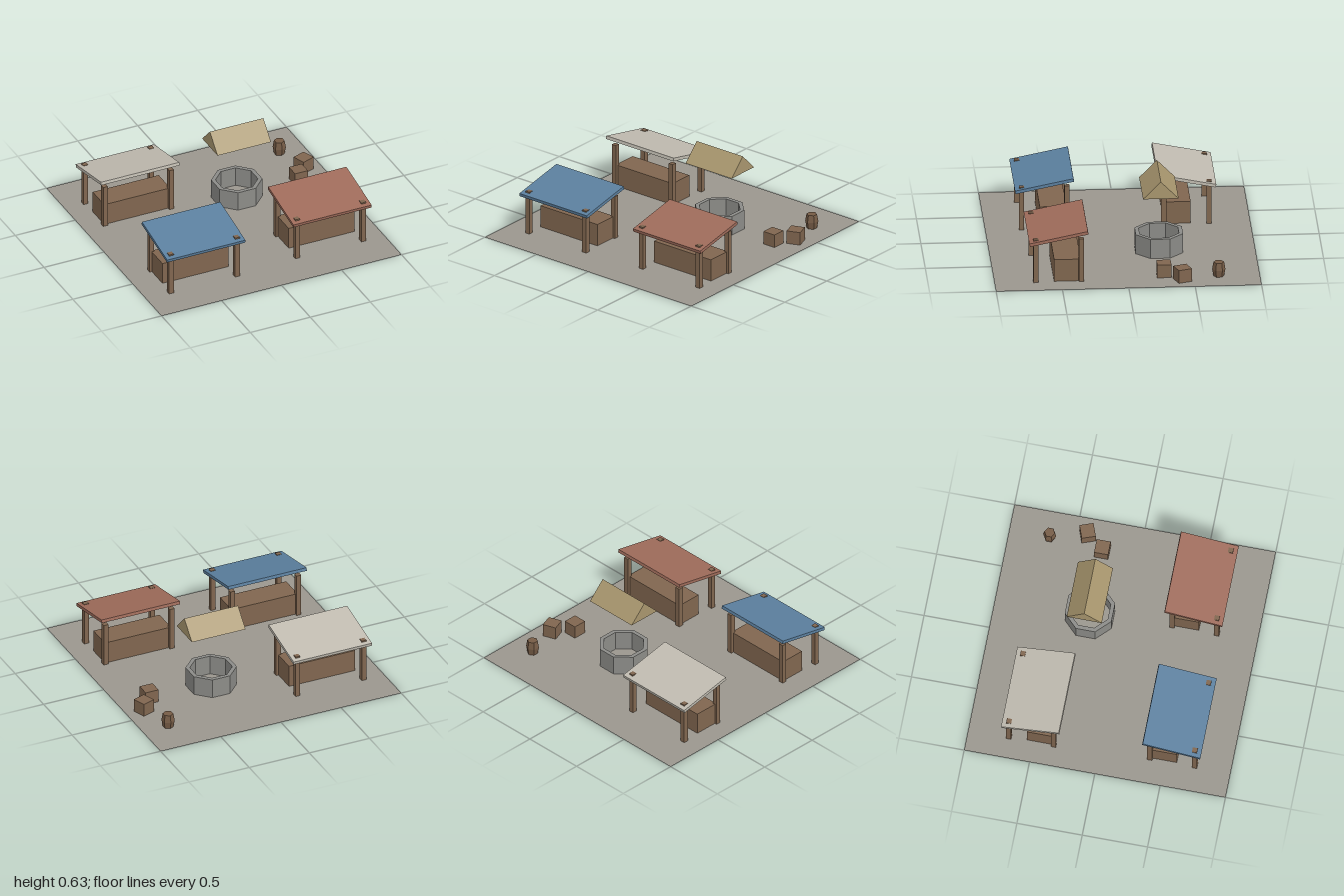
import * as THREE from 'three';

const mat = (color, side = THREE.FrontSide) =>
  new THREE.MeshStandardMaterial({ color, side, flatShading: true });

export function createModel() {
  const model = new THREE.Group();
  model.name = 'marketSquare';
  const wood = mat(0x80664f);
  const stone = mat(0x8c8c88);

  const add = (parent, name, geometry, material, x, y, z) => {
    const mesh = new THREE.Mesh(geometry, material);
    mesh.name = name;
    mesh.position.set(x, y, z);
    parent.add(mesh);
    return mesh;
  };
  const box = (w, h, d) => new THREE.BoxGeometry(w, h, d);

  // Paved ground
  add(model, 'ground', new THREE.PlaneGeometry(2, 2).rotateX(-Math.PI / 2),
    mat(0x9a968e, THREE.DoubleSide), 0, 0, 0);

  // Market stall: four posts, a counter and a sloping roof, low at local +z
  const stall = (name, roofColor, x, z, turn) => {
    const g = new THREE.Group();
    g.name = name;
    g.position.set(x, 0, z);
    g.rotation.y = turn;
    for (const sx of [-1, 1])
      for (const sz of [-1, 1])
        add(g, 'post', box(0.038, 0.345, 0.038), wood, sx * 0.275, 0.1725, sz * 0.171);
    add(g, 'counter', box(0.55, 0.175, 0.2), wood, 0, 0.0875, -0.067);
    const roof = add(g, 'roof', box(0.652, 0.025, 0.45), mat(roofColor), 0, 0.36, 0);
    roof.rotation.x = 0.2;
    model.add(g);
  };
  stall('blueStall', 0x5b7f9e, -0.52, 0.555, 0);
  stall('redStall', 0x9e6b5a, 0.55, 0.518, 0);
  stall('paleStall', 0xc0bbb0, -0.555, -0.518, Math.PI);

  // Octagonal well wall, open in the middle, flats facing the axes
  const wall = [[0.16, 0], [0.193, 0], [0.193, 0.154], [0.16, 0.154], [0.16, 0]]
    .map(([r, y]) => new THREE.Vector2(r, y));
  add(model, 'wellWall', new THREE.LatheGeometry(wall, 8).rotateY(Math.PI / 8),
    stone, 0.238, 0, -0.276);

  // Gabled well roof, ridge along x
  const gable = new THREE.Shape();
  gable.moveTo(-0.134, 0);
  gable.lineTo(0.134, 0);
  gable.lineTo(0, 0.136);
  gable.closePath();
  const gableGeo = new THREE.ExtrudeGeometry(gable, { depth: 0.446, bevelEnabled: false })
    .translate(0, 0, -0.223).rotateY(Math.PI / 2);
  add(model, 'wellRoof', gableGeo, mat(0xa8966e), 0.238, 0.499, -0.277);

  // Crates
  for (const [x, z, turn] of [[0.755, -0.28, 0], [0.862, -0.414, 0.35]])
    add(model, 'crate', box(0.107, 0.103, 0.107), wood, x, 0.0515, z).rotation.y = turn;

  // Six-sided barrel
  const stave = [[0, 0], [0.04, 0], [0.05, 0.055], [0.04, 0.112], [0, 0.112]]
    .map(([r, y]) => new THREE.Vector2(r, y));
  add(model, 'barrel', new THREE.LatheGeometry(stave, 6), mat(0x765c46), 0.792, 0, -0.691);

  return model;
}
